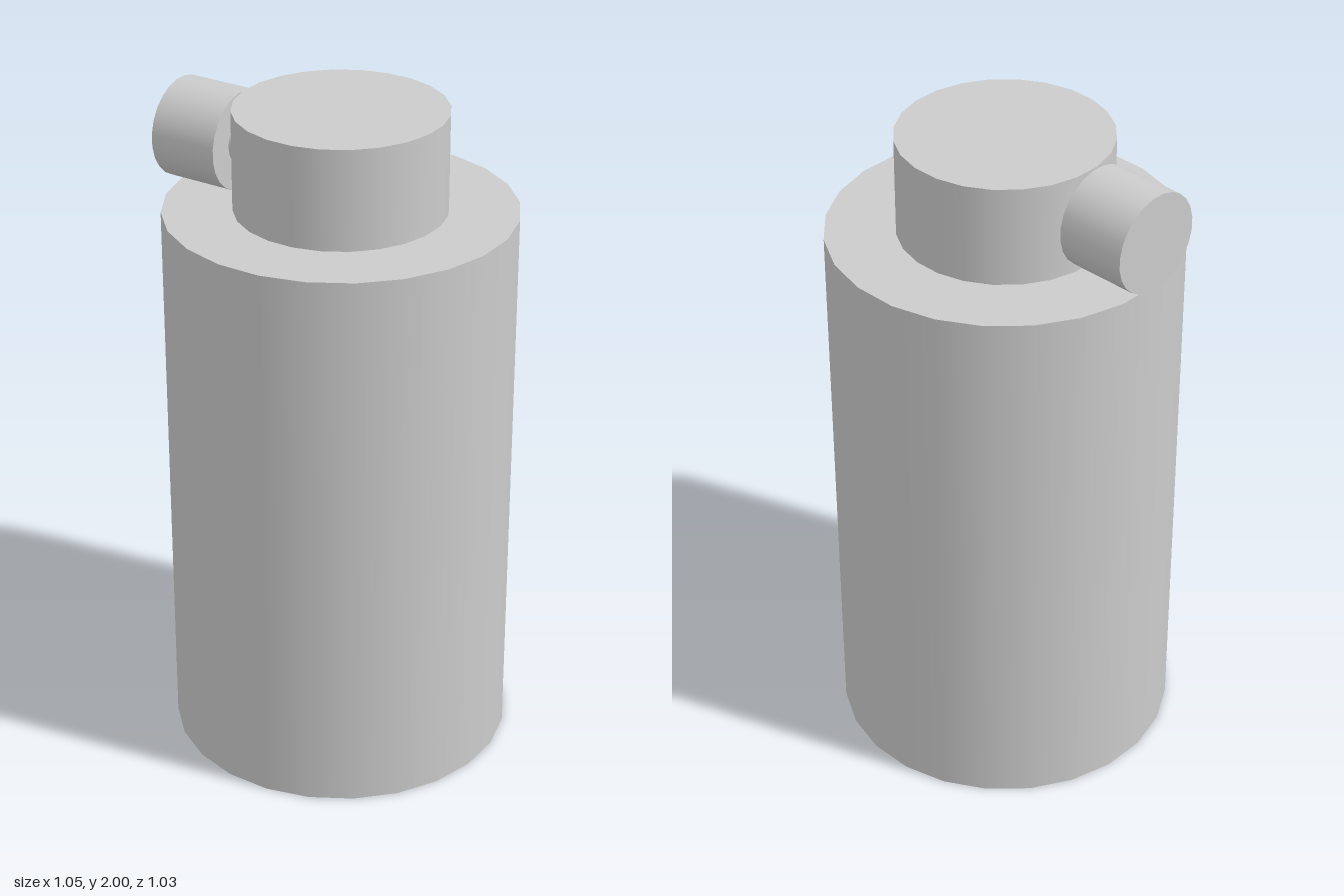
import * as THREE from 'three';

const SIDES = 24;

export function createModel() {
  const model = new THREE.Group();
  const material = new THREE.MeshStandardMaterial({ color: 0xcccccc });

  // Capped cylinder running between two points
  function rod(name, radius, from, to) {
    const axis = to.clone().sub(from);
    const length = axis.length();
    const mesh = new THREE.Mesh(new THREE.CylinderGeometry(radius, radius, length, SIDES), material);
    mesh.name = name;
    mesh.position.copy(from).addScaledVector(axis, 0.5);
    mesh.quaternion.setFromUnitVectors(new THREE.Vector3(0, 1, 0), axis.normalize());
    model.add(mesh);
  }
  const v = (x, y, z) => new THREE.Vector3(x, y, z);

  // Upright body and its narrower neck
  rod('body', 0.514, v(0.009, 0, -0.002), v(0.009, 1.7, -0.002));
  rod('neck', 0.31, v(0.009, 1.7, -0.002), v(0.009, 2, -0.002));

  // Side nozzle, turned slightly forward, with a short stem into the neck
  const outer = v(-0.508, 1.85, 0.106);
  const inner = v(-0.295, 1.85, 0.078);
  rod('nozzle', 0.148, outer, inner);
  rod('nozzleStem', 0.07, inner, v(-0.2, 1.85, 0.0655));

  return model;
}
